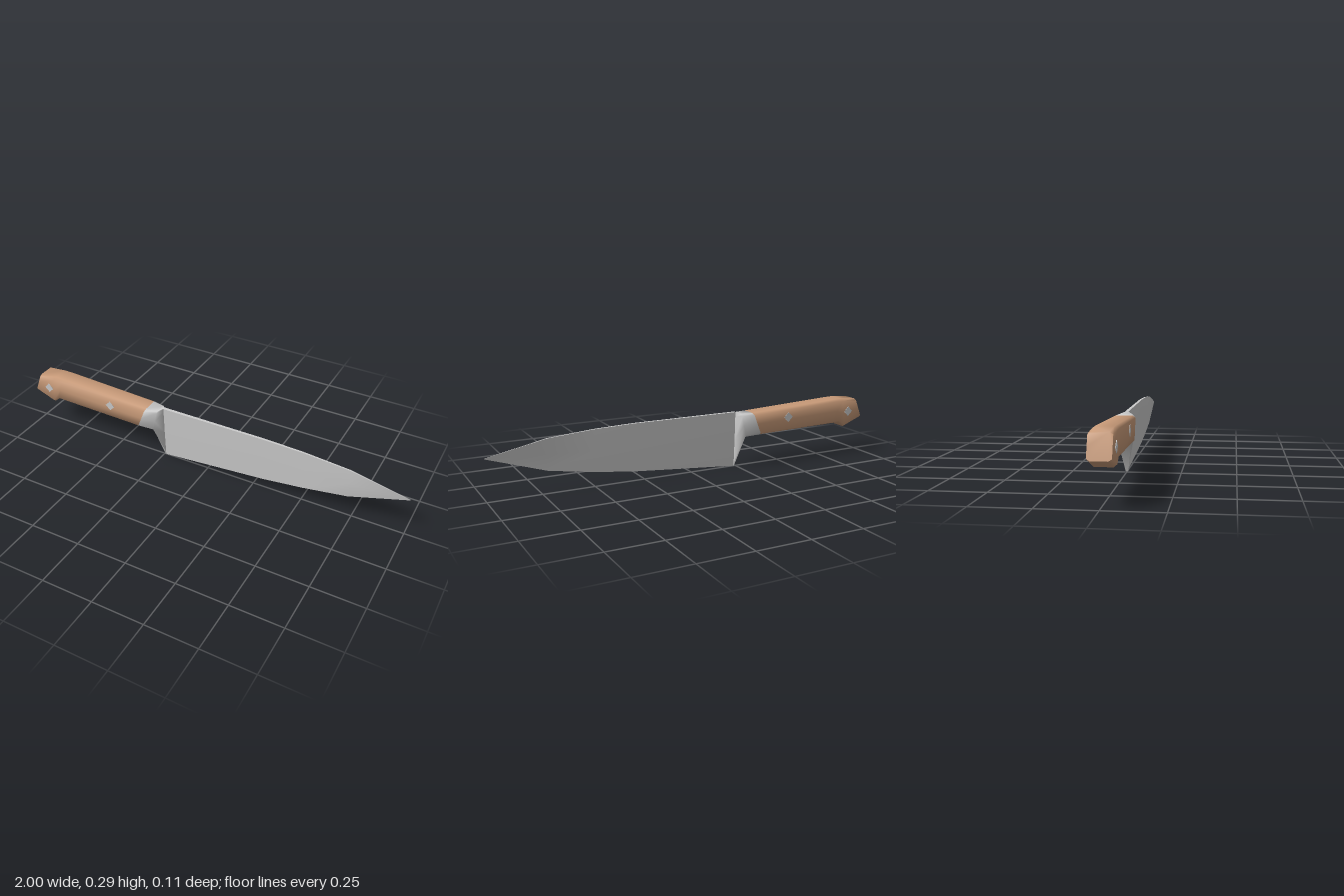
import * as THREE from 'three';
import { toCreasedNormals } from 'three/addons/utils/BufferGeometryUtils.js';

const steel = new THREE.MeshStandardMaterial({ color: 0xcccccc });
const wood = new THREE.MeshStandardMaterial({ color: 0xc89a78 });

// Half rings, top to bottom: [height fraction, width fraction]
const BEVELLED = [[1, 0.72], [0.92, 1], [0.5, 1], [0.08, 1], [0, 0.72]];
const WEDGE = [[1, 1], [0.5, 0.75], [0, 0.2]];

// Skin sections running along +x: [topX, topY, bottomX, bottomY, halfWidth]
function loft(sections, half, crease) {
  const ring = [...half, ...half.map(([t, w]) => [t, -w]).reverse()];
  const n = ring.length, pos = [], index = [];
  for (const [tx, ty, bx, by, hw] of sections)
    for (const [t, w] of ring) pos.push(bx + (tx - bx) * t, by + (ty - by) * t, hw * w);
  for (let i = 0; i < sections.length - 1; i++)
    for (let j = 0; j < n; j++) {
      const a = i * n + j, b = i * n + (j + 1) % n;
      index.push(a, b, a + n, b, b + n, a + n);
    }
  const last = (sections.length - 1) * n;
  for (let k = 1; k < n - 1; k++) index.push(0, k + 1, k, last, last + k, last + k + 1);
  const geo = new THREE.BufferGeometry();
  geo.setAttribute('position', new THREE.Float32BufferAttribute(pos, 3));
  geo.setIndex(index);
  return toCreasedNormals(geo, crease);
}

export function createModel() {
  const group = new THREE.Group();
  const add = (name, geo, mat) => {
    const mesh = new THREE.Mesh(geo, mat);
    mesh.name = name;
    group.add(mesh);
    return mesh;
  };

  // Wooden handle with a hooked butt
  const gripEnd = [-0.325, 0.27, -0.37, 0.157, 0.051];
  add('handle', loft([
    [-0.96, 0.285, -1, 0.182, 0.048],
    [-0.87, 0.293, -0.89, 0.141, 0.052],
    [-0.82, 0.292, -0.858, 0.167, 0.052],
    gripEnd,
  ], BEVELLED, 1.2), wood);

  // Bolster narrowing into the heel of the blade
  add('bolster', loft([
    gripEnd,
    [-0.265, 0.27, -0.29, 0.15, 0.038],
    [-0.243, 0.278, -0.24, 0.002, 0.008],
  ], BEVELLED, 1.2), steel);

  // Blade, thinning toward the edge and the point
  add('blade', loft([
    [-0.243, 0.278, -0.24, 0, 0.008],
    [0.3, 0.279, 0.3, 0.045, 0.006],
    [0.5, 0.273, 0.5, 0.07, 0.005],
    [0.72, 0.256, 0.72, 0.106, 0.0035],
    [1, 0.199, 1, 0.196, 0.001],
  ], WEDGE, 0.6), steel);

  // Four-sided rivets passing through the handle
  for (const [x, y] of [[-0.91, 0.223], [-0.53, 0.231]]) {
    const rivet = add('rivet', new THREE.CylinderGeometry(0.025, 0.025, 0.107, 4), steel);
    rivet.rotation.x = Math.PI / 2;
    rivet.position.set(x, y, 0);
  }
  return group;
}
